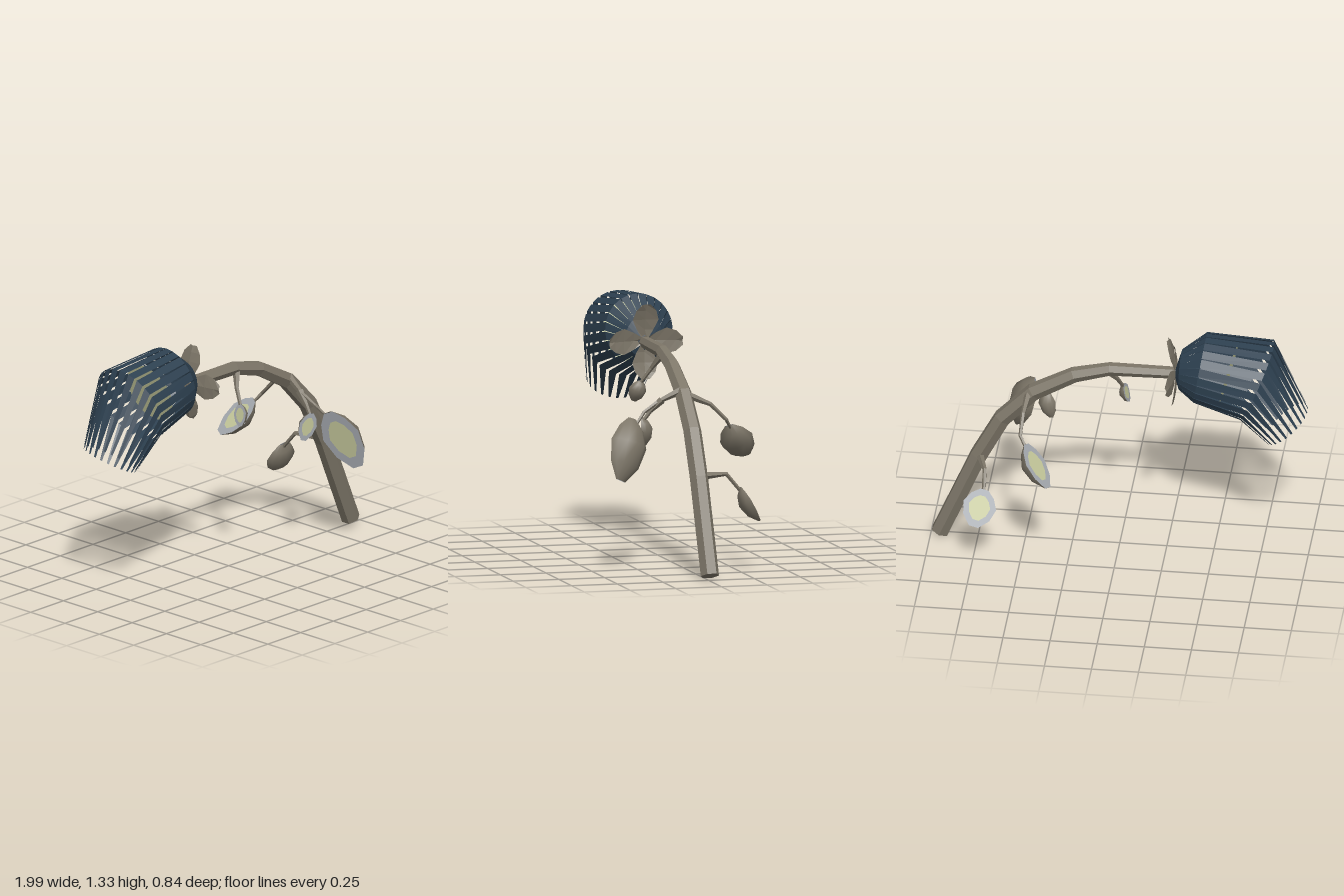
import * as THREE from 'three';

const V = (x, y, z) => new THREE.Vector3(x, y, z);
const mat = (color, flatShading = true) =>
  new THREE.MeshStandardMaterial({ color, flatShading, side: THREE.DoubleSide });
const bark = mat(0x7d7668);
const podSkin = mat(0x7d7668, false);
const petalBlue = mat(0x2d4050);
const rimGrey = mat(0xa6aab0);
const pulp = mat(0xc6c99c);

// Skin a surface over rows of points
function loft(rows) {
  const n = rows[0].length, index = [];
  for (let i = 0; i < rows.length - 1; i++)
    for (let j = 0; j < n - 1; j++) {
      const a = i * n + j, b = a + 1, c = b + n, d = a + n;
      index.push(a, b, c, a, c, d);
    }
  const g = new THREE.BufferGeometry().setFromPoints(rows.flat());
  g.setIndex(index);
  g.computeVertexNormals();
  return g;
}

// Faceted tapering tube with closed ends; ref fixes where the first corner points
function tube(points, radii, sides, ref) {
  const rows = points.map((p, i) => {
    const t = points[Math.min(i + 1, points.length - 1)].clone().sub(points[Math.max(i - 1, 0)]).normalize();
    const s = ref.clone().addScaledVector(t, -ref.dot(t)).normalize();
    const n = t.clone().cross(s);
    return Array.from({ length: sides + 1 }, (_, j) => {
      const a = (j / sides) * Math.PI * 2;
      return p.clone().addScaledVector(s, radii[i] * Math.cos(a)).addScaledVector(n, radii[i] * Math.sin(a));
    });
  });
  const cap = (p) => Array.from({ length: sides + 1 }, () => p.clone());
  return loft([cap(points[0]), ...rows, cap(points[points.length - 1])]);
}

function add(parent, name, geometry, material) {
  const m = new THREE.Mesh(geometry, material);
  m.name = name;
  parent.add(m);
  return m;
}

// Half pod: convex shell behind a flat face with a pale rim and a yellowish centre
function makePod(name, base, tip, facing, width, depth) {
  const pod = new THREE.Group();
  pod.name = name;
  const axis = tip.clone().sub(base), len = axis.length();
  axis.normalize();
  const n = facing.clone().addScaledVector(axis, -facing.dot(axis)).normalize();
  const profile = [[0, 0.12, 0.1], [0.16, 0.34, 0.65], [0.42, 0.5, 1], [0.75, 0.4, 0.75], [1, 0.14, 0.1]];
  const rows = profile.map(([t, w, d]) =>
    Array.from({ length: 7 }, (_, j) => {
      const a = (j / 6) * Math.PI;
      return V(w * width * Math.cos(a), t * len, -d * depth * Math.sin(a));
    }));
  add(pod, 'podShell', loft(rows), podSkin);

  const outline = (k) => [
    ...profile.map(([t, w]) => new THREE.Vector2(w * width * k, (0.48 + (t - 0.48) * k) * len)),
    ...profile.slice().reverse().map(([t, w]) => new THREE.Vector2(-w * width * k, (0.48 + (t - 0.48) * k) * len)),
  ];
  const rim = new THREE.Shape(outline(1));
  rim.holes.push(new THREE.Path(outline(0.65)));
  add(pod, 'podRim', new THREE.ShapeGeometry(rim), rimGrey);
  add(pod, 'podCentre', new THREE.ShapeGeometry(new THREE.Shape(outline(0.65))), pulp);

  pod.applyMatrix4(new THREE.Matrix4().makeBasis(axis.clone().cross(n), axis, n).setPosition(base));
  return pod;
}

// Flower head: leaning rings joined by narrow strips
function makeFlower() {
  const flower = new THREE.Group();
  flower.name = 'flowerHead';
  // centre x, centre y, up-vector x, up-vector y, z radius, strip fill
  const rings = [
    [-0.3, 1.085, 0, 0.03, 0.03, 1],
    [-0.325, 1.11, -0.005, 0.11, 0.1, 1],
    [-0.43, 1.13, -0.03, 0.19, 0.185, 0.9],
    [-0.73, 1.075, -0.09, 0.215, 0.22, 0.72],
    [-0.89, 0.81, -0.11, 0.09, 0.16, 0.3],
  ];
  const at = ([cx, cy, ux, uy, rz], a, k = 1) =>
    V(cx + ux * k * Math.cos(a), cy + uy * k * Math.cos(a), -0.018 + rz * k * Math.sin(a));
  const count = 24, half = Math.PI / count;
  for (let i = 0; i < count; i++) {
    const a = (i + 0.5) * 2 * half;
    add(flower, 'petalStrip', loft(rings.map((r) => [at(r, a - half * r[5]), at(r, a + half * r[5])])), petalBlue);
  }
  // Pale floor inside the cup
  const mid = rings[2].map((v, i) => (v + rings[3][i]) / 2);
  const ring = (k) => Array.from({ length: 13 }, (_, j) => at(mid, (j / 12) * Math.PI * 2, k));
  add(flower, 'flowerCentre', loft([ring(0), ring(0.8)]), pulp);
  return flower;
}

// Four sepals in a cross behind the flower
function makeSepals() {
  const sepals = new THREE.Group();
  sepals.name = 'sepals';
  const outline = [[0.01, 0.015], [0.06, 0.045], [0.115, 0.07], [0.165, 0.055], [0.2, 0.022]];
  const g = loft(outline.map(([r, w]) => {
    const x = 0.8 * r * r;
    return [V(x + 0.008, r, -w), V(x, r, 0), V(x + 0.008, r, w)];
  }));
  for (let i = 0; i < 4; i++) {
    const s = add(sepals, 'sepal', g, bark);
    s.rotation.x = (i * Math.PI) / 2;
  }
  sepals.position.set(-0.305, 1.09, -0.013);
  sepals.rotation.z = -0.06;
  return sepals;
}

export function createModel() {
  const model = new THREE.Group();
  model.name = 'droopingFlower';

  // Arching six-sided stem
  const stem = [
    V(0.952, 0.008, -0.02), V(0.745, 0.5, -0.018), V(0.622, 0.735, -0.016), V(0.455, 0.91, -0.014),
    V(0.24, 1.03, -0.012), V(0.05, 1.08, -0.012), V(-0.3, 1.083, -0.013),
  ];
  add(model, 'stem', tube(stem, [0.05, 0.05, 0.049, 0.047, 0.042, 0.036, 0.032], 6, V(0, 0, 1)), bark);

  // Side shoots
  const shoots = [
    [V(0.06, 1.06, 0), V(0.02, 0.99, 0.04), V(-0.005, 0.915, 0.09)],
    [V(0.46, 0.93, 0), V(0.435, 0.87, 0.12), V(0.45, 0.82, 0.2), V(0.485, 0.765, 0.25)],
    [V(0.438, 0.88, 0.1), V(0.425, 0.82, 0.16), V(0.418, 0.77, 0.195)],
    [V(0.48, 0.91, -0.02), V(0.495, 0.855, -0.15), V(0.5, 0.77, -0.235), V(0.46, 0.71, -0.275)],
    [V(0.74, 0.51, -0.03), V(0.695, 0.51, -0.18), V(0.69, 0.41, -0.265)],
  ];
  for (const p of shoots)
    add(model, 'sideShoot', tube(p, p.map((_, i) => (i ? 0.014 - 0.002 * i : 0.022)), 5, V(1, 0, 0)), bark);

  // Split pods hanging from the shoots
  model.add(
    makePod('smallTopPod', V(-0.01, 0.92, 0.09), V(-0.04, 0.81, 0.12), V(-0.9, 0.25, -0.1), 0.095, 0.04),
    makePod('largePod', V(0.475, 0.79, 0.27), V(0.6, 0.48, 0.37), V(-0.85, -0.25, 0.4), 0.22, 0.085),
    makePod('smallFrontPod', V(0.42, 0.785, 0.205), V(0.385, 0.635, 0.175), V(-0.45, -0.1, 0.85), 0.1, 0.05),
    makePod('backPod', V(0.465, 0.735, -0.26), V(0.335, 0.555, -0.39), V(-0.72, 0.68, -0.13), 0.18, 0.075),
    makePod('lowBackPod', V(0.685, 0.435, -0.262), V(0.735, 0.26, -0.355), V(0, 0.5, -0.85), 0.18, 0.06),
  );

  model.add(makeFlower(), makeSepals());
  return model;
}
